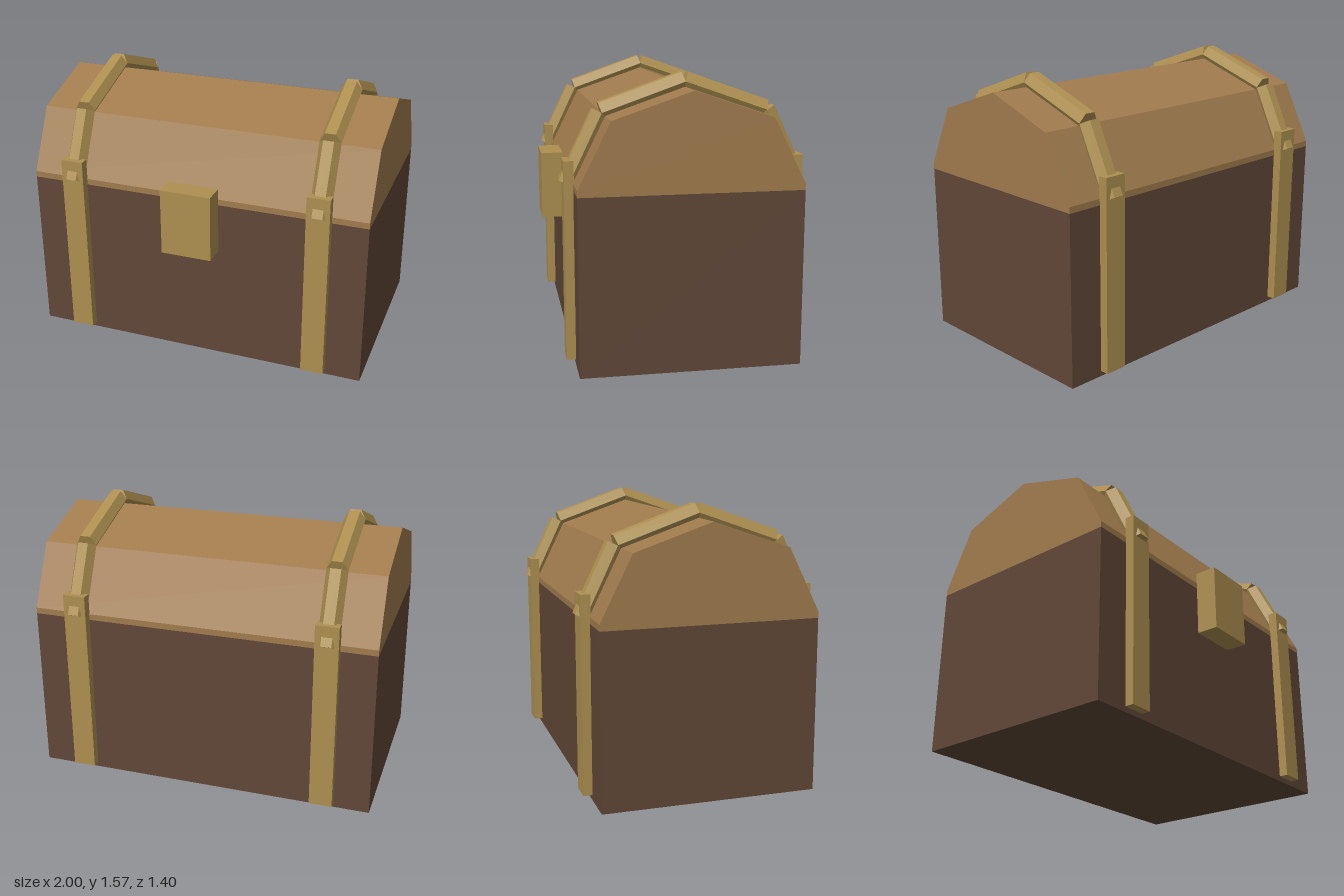
import * as THREE from 'three';

const MID_Z = -0.025; // the chest body sits slightly back to make room for the latch

export function createModel() {
  const darkWood = new THREE.MeshStandardMaterial({ color: 0x604737 });
  const lightWood = new THREE.MeshStandardMaterial({ color: 0xa07b4d });
  const brass = new THREE.MeshStandardMaterial({ color: 0xad8f50 });
  darkWood.name = 'dark wood';
  lightWood.name = 'light wood';
  brass.name = 'brass';

  const chest = new THREE.Group();
  chest.name = 'chest';

  const add = (name, geometry, material, x = 0, y = 0, z = 0) => {
    const mesh = new THREE.Mesh(geometry, material);
    mesh.name = name;
    mesh.position.set(x, y, z);
    chest.add(mesh);
    return mesh;
  };

  // Box body
  add('body', new THREE.BoxGeometry(2, 0.965, 1.2), darkWood, 0, 0.4825, MID_Z);

  // Faceted lid: end profile extruded along x
  const profile = [[0.6, 0.965], [0.6, 1], [0.425, 1.35], [0, 1.495], [-0.425, 1.35], [-0.6, 1], [-0.6, 0.965]];
  const shape = new THREE.Shape(profile.map(([z, y]) => new THREE.Vector2(z, y)));
  const lid = new THREE.ExtrudeGeometry(shape, { depth: 2, bevelEnabled: false });
  lid.rotateY(-Math.PI / 2).translate(1, 0, 0);
  add('lid', lid, lightWood, 0, 0, MID_Z);

  // Latch block
  add('latch', new THREE.BoxGeometry(0.295, 0.385, 0.125), brass, 0, 0.87, 0.6375);

  // Six-sided bar between two points given as [z, y], flat side outward
  const bar = (name, x, [z0, y0], [z1, y1]) => {
    const length = Math.hypot(z1 - z0, y1 - y0);
    const geometry = new THREE.CylinderGeometry(0.06, 0.06, length, 6, 1, false, Math.PI / 6).toNonIndexed();
    geometry.computeVertexNormals();
    const mesh = add(name, geometry, brass, x, (y0 + y1) / 2, MID_Z + (z0 + z1) / 2);
    mesh.rotation.x = Math.atan2(z1 - z0, y1 - y0);
  };

  // Upright bands and lid straps, mirrored left/right and front/back
  for (const sx of [1, -1]) {
    const side = sx > 0 ? 'left' : 'right';
    for (const sz of [1, -1]) {
      const end = sz > 0 ? 'Front' : 'Back';
      const x = sx * 0.73;
      add(`${side}${end}Band`, new THREE.BoxGeometry(0.132, 1.09, 0.054), brass, x, 0.575, MID_Z + sz * 0.623);
      bar(`${side}${end}LowerStrap`, x, [sz * 0.625, 0.99], [sz * 0.445, 1.365]);
      bar(`${side}${end}UpperStrap`, x, [sz * 0.444, 1.367], [0, 1.523]);
    }
  }
  return chest;
}
